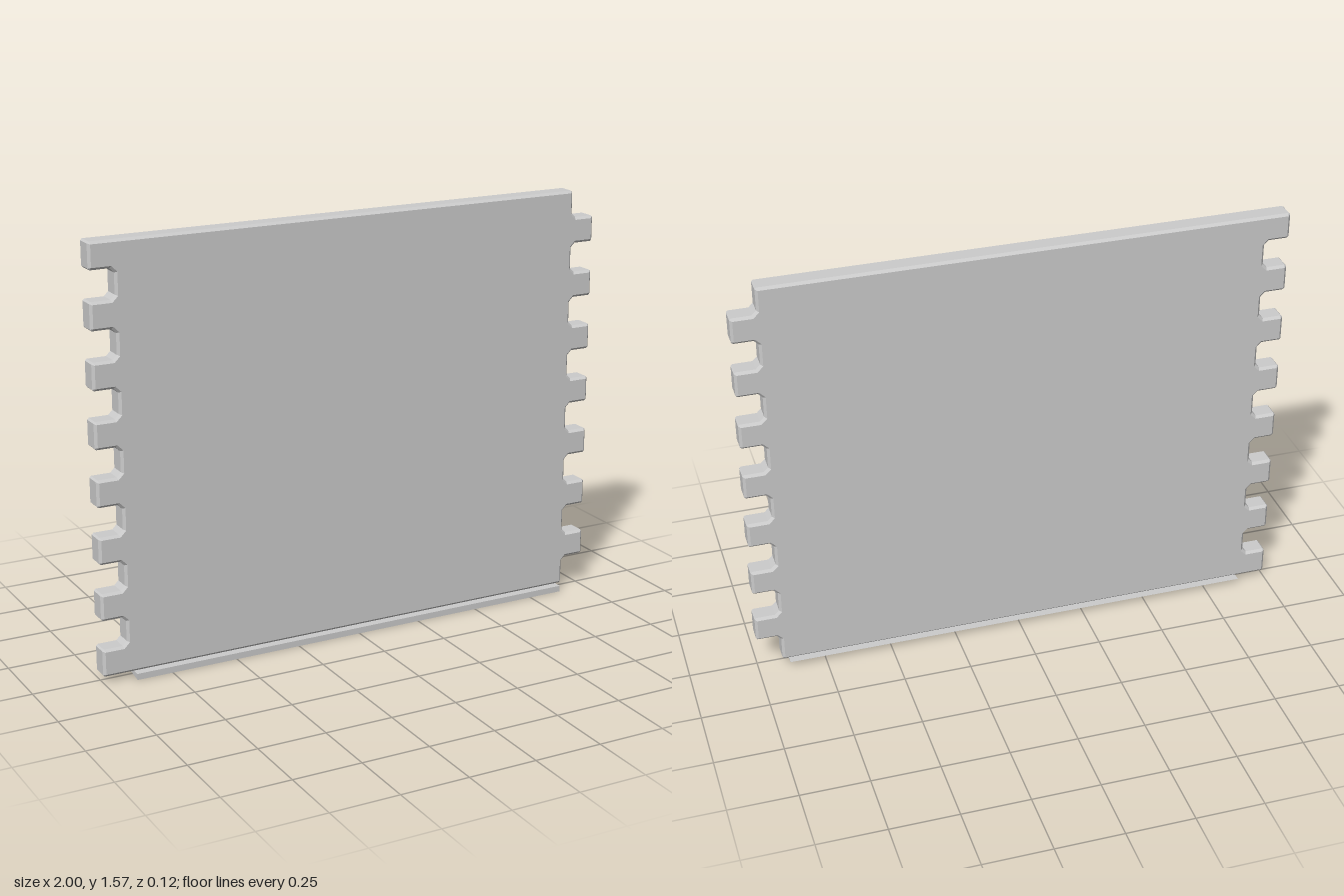
import * as THREE from 'three';

const BOTTOM = 0.023, TOP = 1.57, EDGE = 0.908, PITCH = 0.2068;

// Cuts every corner of a counter-clockwise outline; inner corners get a larger cut
function cutCorners(points, outerCut, innerCut) {
  const result = [];
  points.forEach((p, i) => {
    const before = points[(i + points.length - 1) % points.length].clone().sub(p);
    const after = points[(i + 1) % points.length].clone().sub(p);
    const cut = before.cross(after) > 0 ? innerCut : outerCut;
    result.push(p.clone().addScaledVector(before.normalize(), cut));
    result.push(p.clone().addScaledVector(after.normalize(), cut));
  });
  return result;
}

export function createModel() {
  const group = new THREE.Group();
  const material = new THREE.MeshStandardMaterial({ color: 0xcccccc, flatShading: true });
  const v = (x, y) => new THREE.Vector2(x, y);

  // Panel outline: seven tabs on one side, seven matching notches on the other
  const outline = [v(-1, BOTTOM), v(EDGE, BOTTOM)];
  for (let i = 0; i < 7; i++) {
    const low = 0.131 + i * PITCH, high = low + 0.097;
    outline.push(v(EDGE, low), v(1, low), v(1, high), v(EDGE, high));
  }
  outline.push(v(EDGE, TOP), v(-1, TOP));
  for (let i = 6; i >= 0; i--) {
    const low = 0.125 + i * PITCH, high = low + 0.107;
    outline.push(v(-1, high), v(-EDGE, high), v(-EDGE, low), v(-1, low));
  }

  // Chamfered slab
  const bevel = 0.009, half = 0.038;
  const panelGeometry = new THREE.ExtrudeGeometry(new THREE.Shape(cutCorners(outline, 0.006, 0.016)), {
    depth: 2 * (half - bevel), bevelThickness: bevel, bevelSize: bevel,
    bevelOffset: -bevel, bevelSegments: 1,
  });
  panelGeometry.translate(0, 0, -(half - bevel));
  const panel = new THREE.Mesh(panelGeometry, material);
  panel.name = 'interlockingPanel';
  group.add(panel);

  // Thin wedge under the panel, thick towards the front
  const wedgeShape = new THREE.Shape([v(-0.062, 0), v(0.06, BOTTOM), v(-0.062, BOTTOM)]);
  const wedgeGeometry = new THREE.ExtrudeGeometry(wedgeShape, { depth: 1.77, bevelEnabled: false });
  wedgeGeometry.translate(0, 0, -0.885).rotateY(Math.PI / 2);
  const wedge = new THREE.Mesh(wedgeGeometry, material);
  wedge.name = 'bottomWedge';
  group.add(wedge);

  return group;
}
